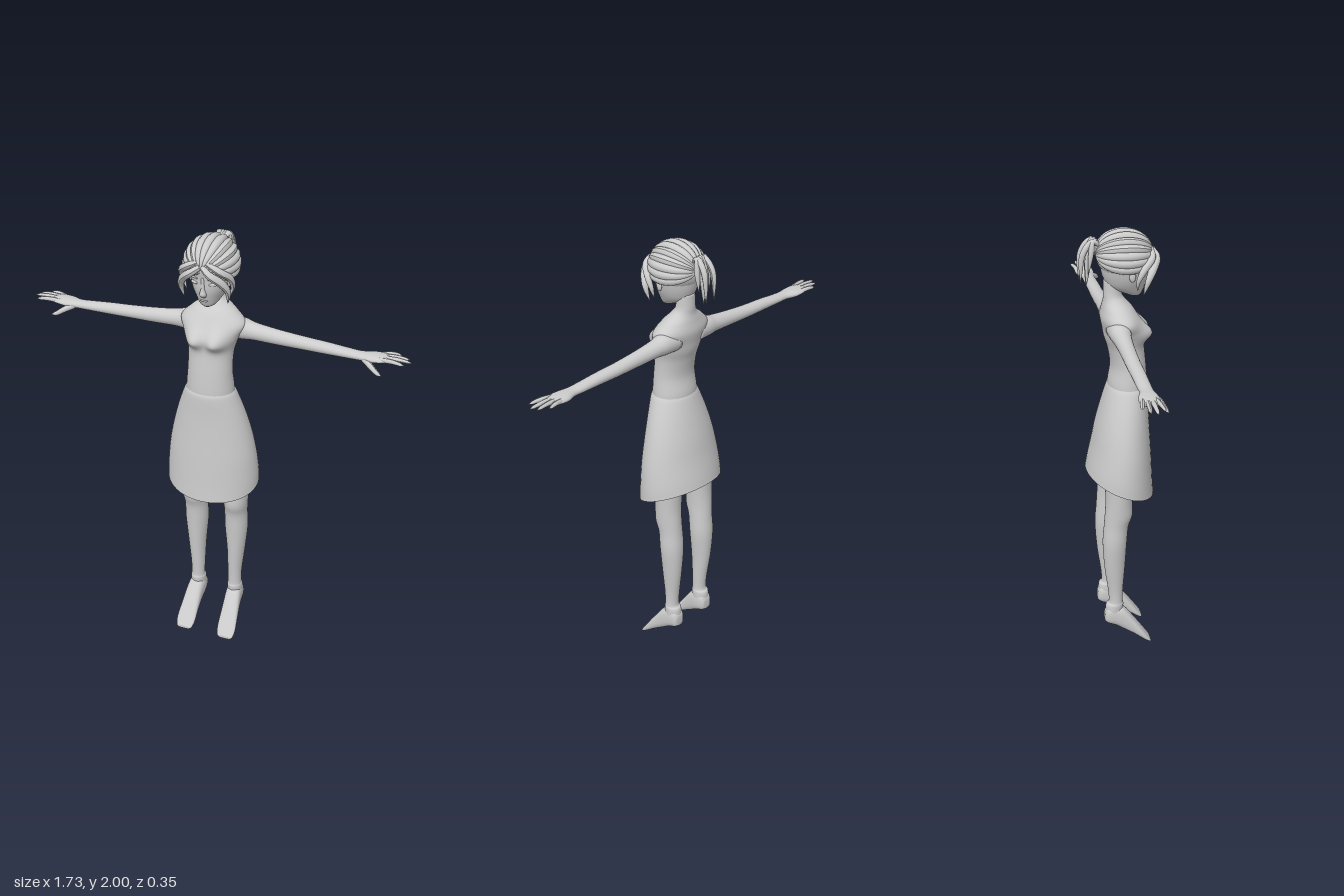
import * as THREE from 'three';

const skin = new THREE.MeshStandardMaterial({ color: 0xcccccc, side: THREE.DoubleSide });
skin.name = 'plain grey';

const AXES = {
  x: [[0, 1, 0], [0, 0, 1]],
  y: [[1, 0, 0], [0, 0, 1]],
  z: [[1, 0, 0], [0, 1, 0]],
};

// Smooth skin over cross-sections [x, y, z, halfU, halfV] stacked along an axis.
function loft(sections, axis, { sides = 32, steps = 5, power = 1, capped = true, rule } = {}) {
  const centres = new THREE.CatmullRomCurve3(sections.map(s => new THREE.Vector3(s[0], s[1], s[2])), false, 'catmullrom');
  const sizes = new THREE.CatmullRomCurve3(sections.map(s => new THREE.Vector3(s[3], s[4], 0)), false, 'catmullrom');
  const [u, v] = AXES[axis].map(a => new THREE.Vector3(...a));
  const rows = (sections.length - 1) * steps;
  const points = [], index = [];
  const round = c => Math.sign(c) * Math.abs(c) ** power;
  for (let i = 0; i <= rows; i++) {
    const c = centres.getPoint(i / rows), r = sizes.getPoint(i / rows);
    for (let j = 0; j < sides; j++) {
      const a = (j / sides) * Math.PI * 2;
      const p = c.clone().addScaledVector(u, r.x * round(Math.cos(a))).addScaledVector(v, r.y * round(Math.sin(a)));
      if (rule) rule(p, c);
      points.push(p);
    }
  }
  const start = centres.getPoint(0), end = centres.getPoint(1);
  const flip = u.clone().cross(v).dot(end.clone().sub(start)) < 0;
  const tri = (a, b, c) => (flip ? index.push(a, c, b) : index.push(a, b, c));
  for (let i = 0; i < rows; i++) {
    for (let j = 0; j < sides; j++) {
      const k = (j + 1) % sides, a = i * sides, b = a + sides;
      tri(a + j, a + k, b + j);
      tri(a + k, b + k, b + j);
    }
  }
  if (capped) {
    const n = points.length, last = rows * sides;
    points.push(start, end);
    for (let j = 0; j < sides; j++) {
      const k = (j + 1) % sides;
      tri(n, k, j);
      tri(n + 1, last + j, last + k);
    }
  }
  const g = new THREE.BufferGeometry().setFromPoints(points);
  g.setIndex(index);
  g.computeVertexNormals();
  return g;
}

// Round strand along a path whose thickness follows taper(t).
function strand(path, radius, taper, rows = 18, sides = 10) {
  const curve = new THREE.CatmullRomCurve3(path.map(p => new THREE.Vector3(...p)));
  const g = new THREE.TubeGeometry(curve, rows, radius, sides);
  const pos = g.attributes.position, p = new THREE.Vector3();
  for (let i = 0; i <= rows; i++) {
    const c = curve.getPointAt(i / rows);
    for (let j = 0; j <= sides; j++) {
      const n = i * (sides + 1) + j;
      p.fromBufferAttribute(pos, n).sub(c).multiplyScalar(taper(i / rows)).add(c);
      pos.setXYZ(n, p.x, p.y, p.z);
    }
  }
  g.computeVertexNormals();
  return g;
}

export function createModel() {
  const model = new THREE.Group();
  const add = (name, geometry, parent = model) => {
    const m = new THREE.Mesh(geometry, skin);
    m.name = name;
    parent.add(m);
    return m;
  };
  const blob = (name, x, y, z, sx, sy, sz, parent) => {
    const m = add(name, new THREE.SphereGeometry(1, 20, 14), parent);
    m.position.set(x, y, z);
    m.scale.set(sx, sy, sz);
    return m;
  };

  // Torso and neck, with the bust pushed forward
  add('torso', loft([
    [0, 1.27, 0.035, 0.108, 0.085], [0, 1.32, 0.035, 0.107, 0.086], [0, 1.40, 0.038, 0.1, 0.078],
    [0, 1.48, 0.028, 0.1, 0.08], [0, 1.53, 0.018, 0.11, 0.085], [0, 1.57, 0.014, 0.125, 0.088],
    [0, 1.62, 0, 0.145, 0.082], [0, 1.665, -0.01, 0.105, 0.066], [0, 1.70, -0.022, 0.062, 0.048],
    [0, 1.73, -0.03, 0.045, 0.04], [0, 1.79, -0.03, 0.042, 0.038],
  ], 'y', {
    sides: 56, steps: 8,
    rule: (p, c) => {
      if (p.z < c.z) return;
      const dx = (Math.abs(p.x) - 0.052) / 0.045, dy = (p.y - 1.55) / (p.y < 1.55 ? 0.032 : 0.05);
      p.z += 0.04 * Math.exp(-dx * dx - dy * dy);
    },
  }));

  // Skirt: open cone whose hem rises towards the back
  add('skirt', loft([
    [0, 1.308, 0.035, 0.109, 0.087], [0, 1.285, 0.033, 0.121, 0.094], [0, 1.2, 0.022, 0.152, 0.106],
    [0, 1.1, 0.013, 0.18, 0.12], [0, 1.0, 0.008, 0.2, 0.132], [0, 0.9, 0.002, 0.211, 0.144],
    [0, 0.833, 0, 0.213, 0.152],
  ], 'y', {
    sides: 48, capped: false,
    rule: p => { p.y -= p.z * 0.37 * Math.max(0, (1.308 - p.y) / 0.475) ** 1.5; },
  }));
  add('hips', loft([
    [0, 0.95, -0.01, 0.13, 0.07], [0, 1.05, 0, 0.15, 0.09], [0, 1.2, 0.02, 0.125, 0.085], [0, 1.29, 0.03, 0.1, 0.08],
  ], 'y'));

  // Head and face
  const head = new THREE.Group();
  head.name = 'head';
  model.add(head);
  add('face', loft([
    [0, 1.712, 0.072, 0.014, 0.012], [0, 1.725, 0.06, 0.036, 0.036], [0, 1.76, 0.032, 0.06, 0.078],
    [0, 1.80, 0.025, 0.078, 0.095], [0, 1.85, 0.02, 0.09, 0.103], [0, 1.90, 0.02, 0.1, 0.11],
    [0, 1.95, 0.02, 0.085, 0.095], [0, 1.98, 0.02, 0.04, 0.05],
  ], 'y'), head);
  add('nose', loft([
    [0, 1.765, 0.106, 0.008, 0.006], [0, 1.782, 0.117, 0.015, 0.017], [0, 1.81, 0.116, 0.009, 0.013],
    [0, 1.86, 0.118, 0.007, 0.008],
  ], 'y', { sides: 14 }), head);
  blob('mouth', 0, 1.748, 0.104, 0.018, 0.005, 0.006, head);

  // Hair: ridges sweeping from the brow over the skull to the knot
  const hair = new THREE.Group();
  hair.name = 'hair';
  model.add(hair);
  blob('hairCap', 0, 1.892, 0.014, 0.104, 0.095, 0.112, hair);
  for (let k = -6; k <= 6; k++) {
    const phi = (k / 6) * 1.85, path = [];
    for (let i = 0; i <= 8; i++) {
      const a = 0.12 + (i / 8) * 2.9, s = Math.sin(a);
      path.push([
        0.102 * s * Math.sin(phi),
        1.893 + 0.091 * s * Math.cos(phi) - 0.012 * Math.sin(phi) ** 2 * s + 0.012 * (i / 8),
        0.02 + 0.118 * Math.cos(a),
      ]);
    }
    add('hairRidge', strand(path, 0.021, t => 0.3 + 0.7 * Math.sin(Math.PI * t) ** 0.7, 24), hair);
  }
  const pointed = t => Math.max(0.04, Math.sin(Math.PI * (0.18 + 0.82 * t)) ** 0.8);
  const tail = [[0.008, 1.77, -0.135, 0.014], [0.024, 1.79, -0.163, 0.013], [0.032, 1.83, -0.13, 0.012]];

  for (const s of [1, -1]) {
    const side = s > 0 ? 'left' : 'right';

    // Fringe locks and tail locks
    add(side + 'FringeLock', strand([[s * 0.004, 1.915, 0.14], [s * 0.04, 1.89, 0.152], [s * 0.08, 1.855, 0.13],
      [s * 0.104, 1.81, 0.105], [s * 0.098, 1.745, 0.085]], 0.018, pointed), hair);
    add(side + 'TempleLock', strand([[s * 0.02, 1.93, 0.13], [s * 0.075, 1.9, 0.125], [s * 0.108, 1.86, 0.085],
      [s * 0.11, 1.81, 0.06], [s * 0.096, 1.765, 0.06]], 0.016, pointed), hair);
    for (const [x, y, z, r] of tail) {
      add(side + 'TailLock', strand([[s * x * 0.4, 1.945, -0.085], [s * x * 0.7, 1.968, -0.115],
        [s * x, 1.92, z + 0.005], [s * x, y, z - 0.008]], r, pointed), hair);
    }

    // Eyes, brows and ears
    blob(side + 'Eye', s * 0.042, 1.83, 0.109, 0.019, 0.007, 0.006, head).rotation.y = s * 0.4;
    blob(side + 'Brow', s * 0.042, 1.853, 0.112, 0.022, 0.004, 0.006, head).rotation.y = s * 0.4;
    blob(side + 'Ear', s * 0.086, 1.825, 0.04, 0.008, 0.024, 0.014, head);

    // Arm and palm
    add(side + 'Arm', loft([
      [s * 0.06, 1.59, -0.02, 0.05, 0.05], [s * 0.13, 1.588, -0.02, 0.047, 0.046], [s * 0.18, 1.583, -0.02, 0.038, 0.039],
      [s * 0.28, 1.575, -0.02, 0.033, 0.033], [s * 0.4, 1.569, -0.021, 0.028, 0.031], [s * 0.5, 1.566, -0.02, 0.025, 0.03],
      [s * 0.6, 1.562, -0.02, 0.02, 0.029], [s * 0.65, 1.561, -0.02, 0.018, 0.029], [s * 0.7, 1.562, -0.025, 0.018, 0.042],
      [s * 0.75, 1.565, -0.027, 0.013, 0.042], [s * 0.775, 1.566, -0.028, 0.008, 0.036],
    ], 'x', { sides: 24 }));

    // Fingers and thumb
    const fingertip = t => 1 - 0.45 * t ** 2 - 0.5 * Math.max(0, t - 0.85) / 0.15;
    [[0.843, 0.014, -0.001], [0.867, -0.02, -0.019], [0.852, -0.046, -0.037], [0.81, -0.072, -0.056]].forEach(([x, z, z0]) => {
      add(side + 'Finger', strand([[s * 0.735, 1.566, z0], [s * (0.735 + x) / 2, 1.571, (z + z0) / 2 - 0.001],
        [s * x, 1.567, z]], 0.0105, fingertip));
    });
    add(side + 'Thumb', strand([[s * 0.665, 1.558, -0.005], [s * 0.705, 1.541, 0.022], [s * 0.735, 1.524, 0.036],
      [s * 0.758, 1.517, 0.045]], 0.014, fingertip));

    // Leg
    add(side + 'Leg', loft([
      [s * 0.09, 1.08, 0, 0.07, 0.08], [s * 0.098, 0.9, -0.015, 0.066, 0.07], [s * 0.1, 0.78, -0.02, 0.06, 0.061],
      [s * 0.1, 0.7, -0.022, 0.056, 0.063], [s * 0.098, 0.64, -0.033, 0.053, 0.056], [s * 0.098, 0.55, -0.04, 0.053, 0.055],
      [s * 0.097, 0.42, -0.04, 0.041, 0.047], [s * 0.093, 0.3, -0.036, 0.033, 0.035], [s * 0.093, 0.235, -0.035, 0.032, 0.032],
      [s * 0.093, 0.215, -0.04, 0.036, 0.041], [s * 0.093, 0.15, -0.045, 0.035, 0.038],
    ], 'y'));

    // Foot on tiptoe, sloping down to the toes
    add(side + 'Foot', loft([
      [s * 0.093, 0.155, -0.086, 0.022, 0.025], [s * 0.093, 0.163, -0.07, 0.034, 0.045], [s * 0.093, 0.158, -0.035, 0.038, 0.055],
      [s * 0.096, 0.14, 0, 0.039, 0.059], [s * 0.1, 0.092, 0.05, 0.042, 0.041], [s * 0.103, 0.044, 0.095, 0.045, 0.023],
      [s * 0.104, 0.018, 0.12, 0.039, 0.011], [s * 0.104, 0.012, 0.127, 0.03, 0.007],
    ], 'z', { sides: 28, power: 0.75 }));
  }
  return model;
}
